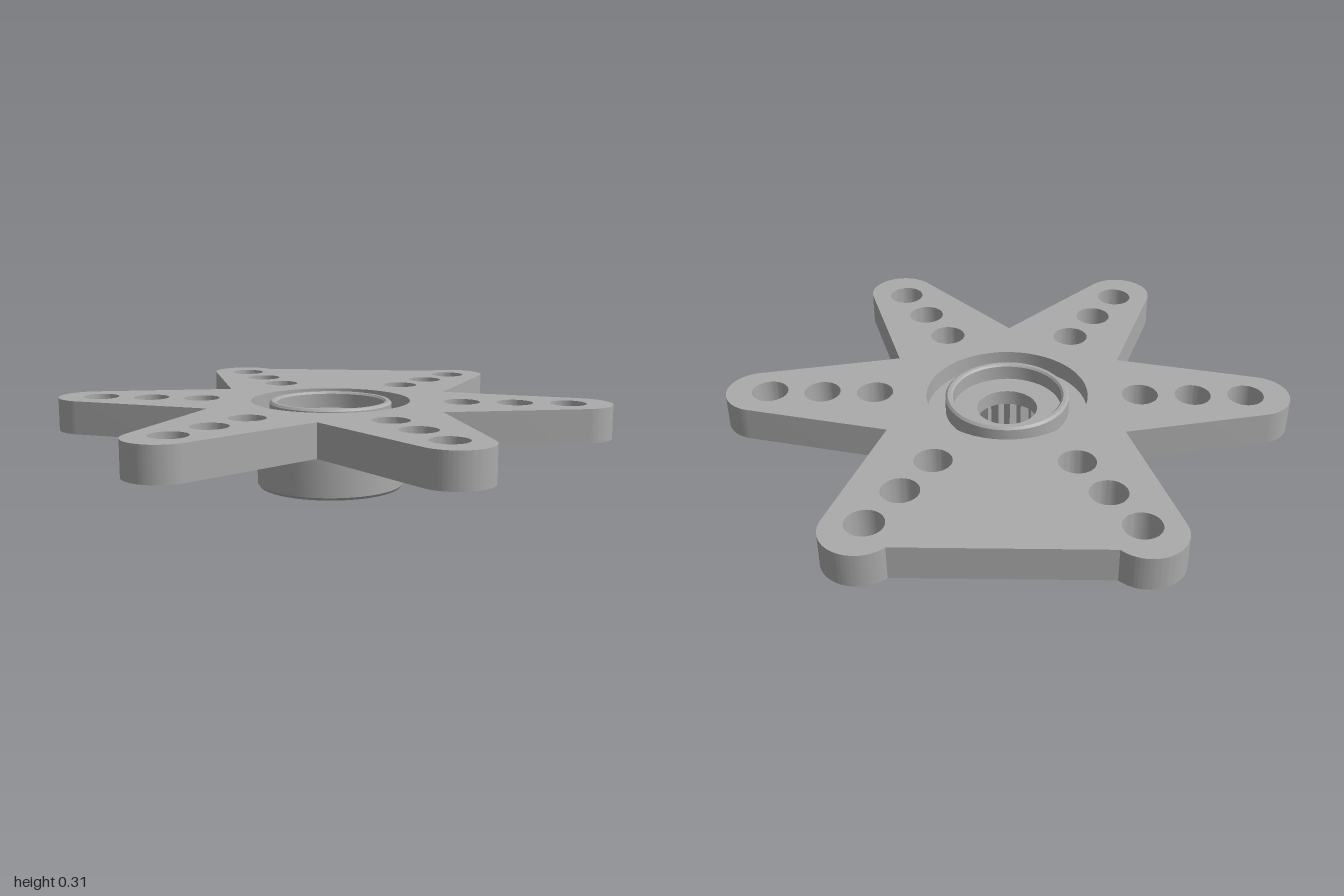
import * as THREE from 'three';
import { toCreasedNormals } from 'three/addons/utils/BufferGeometryUtils.js';

const ARMS = 6;
const polar = (r, a) => new THREE.Vector2(r * Math.cos(a), r * Math.sin(a));

function circlePath(x, y, r) {
  return new THREE.Path().absarc(x, y, r, 0, Math.PI * 2, true);
}

// Extrudes a flat outline upwards, from y = bottom to y = top
function slab(shape, bottom, top, crease) {
  const geo = new THREE.ExtrudeGeometry(shape, {
    depth: top - bottom, bevelEnabled: false, curveSegments: 24,
  });
  geo.rotateX(-Math.PI / 2).translate(0, bottom, 0);
  return toCreasedNormals(geo, crease);
}

export function createModel() {
  const group = new THREE.Group();
  const grey = new THREE.MeshStandardMaterial({ color: 0xaaaaaa });
  grey.name = 'grey plastic';
  const add = (name, geo) => {
    const mesh = new THREE.Mesh(geo, grey);
    mesh.name = name;
    group.add(mesh);
  };

  // Six tapered arms with round tips, three holes in each
  const star = new THREE.Shape();
  const tipSweep = THREE.MathUtils.degToRad(77);
  for (let i = 0; i < ARMS; i++) {
    const a = Math.PI / 2 + (i * Math.PI * 2) / ARMS;
    const notch = polar(0.467, a - Math.PI / ARMS);
    if (i === 0) star.moveTo(notch.x, notch.y);
    else star.lineTo(notch.x, notch.y);
    const tip = polar(0.875, a);
    star.absarc(tip.x, tip.y, 0.125, a - tipSweep, a + tipSweep, false);
    for (const r of [0.47, 0.657, 0.844]) {
      const c = polar(r, a);
      star.holes.push(circlePath(c.x, c.y, 0.064));
    }
  }
  star.closePath();
  star.holes.push(circlePath(0, 0, 0.286));
  add('starPlate', slab(star, 0.19, 0.31, 0.4));

  // Hub shell, groove floor, raised ring and bored web in one turned profile
  const profile = [
    [0.107, 0.195], [0.25, 0.195], [0.25, 0], [0.257, 0], [0.265, 0.01],
    [0.265, 0.19], [0.286, 0.19], [0.286, 0.245], [0.22, 0.245],
    [0.22, 0.302], [0.212, 0.31], [0.2, 0.31], [0.193, 0.303],
    [0.193, 0.25], [0.107, 0.25], [0.107, 0.195],
  ].map(([r, y]) => new THREE.Vector2(r, y));
  add('hub', toCreasedNormals(new THREE.LatheGeometry(profile, 48), 0.4));

  // Toothed socket inside the hub
  const socket = new THREE.Shape().absarc(0, 0, 0.252, 0, Math.PI * 2, false);
  const teeth = 25;
  const points = [];
  for (let i = 0; i < teeth * 2; i++) {
    points.push(polar(i % 2 ? 0.167 : 0.192, (-i * Math.PI) / teeth));
  }
  socket.holes.push(new THREE.Path(points).closePath());
  add('splineSocket', slab(socket, 0, 0.195, 0.4));

  return group;
}
